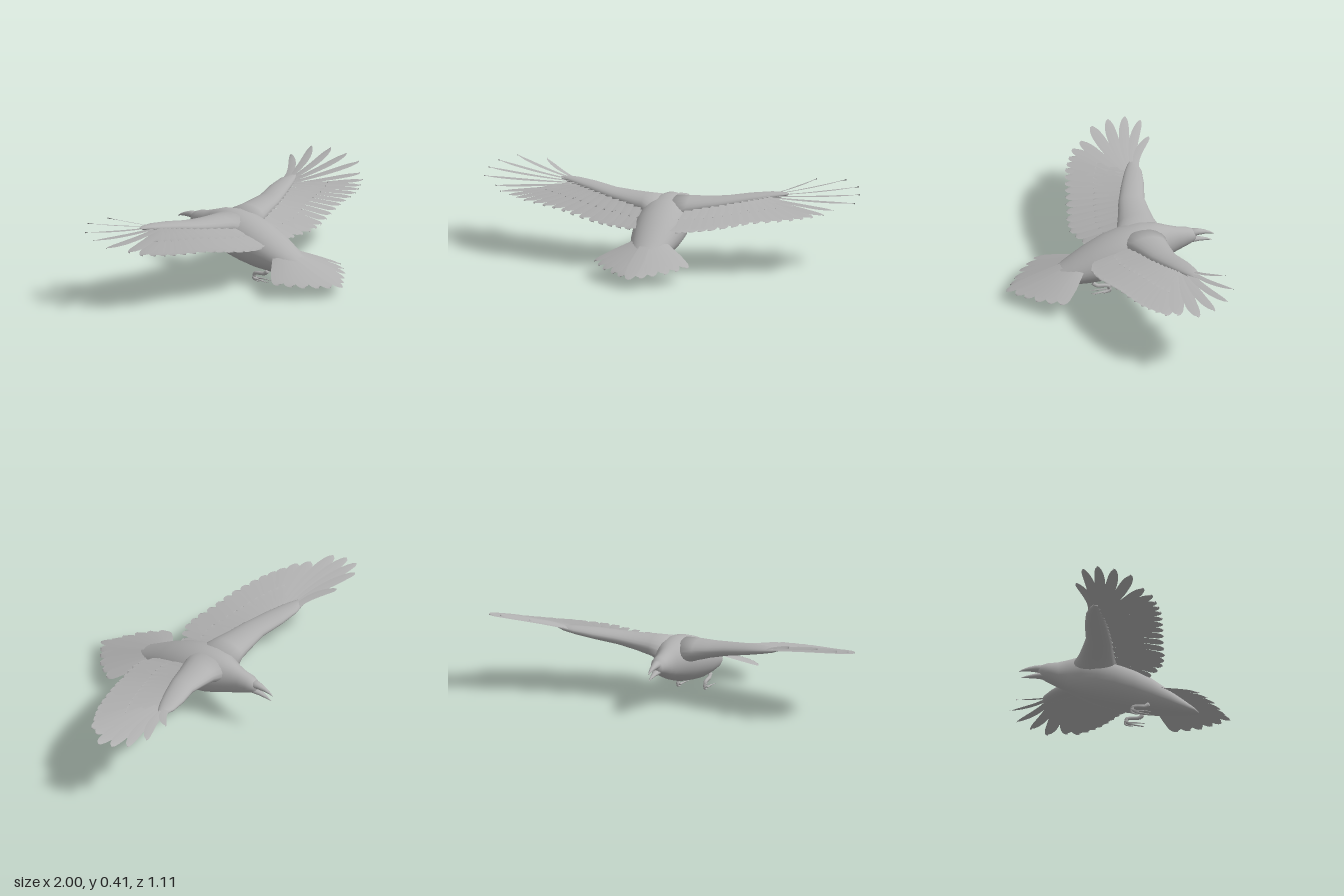
import * as THREE from 'three';
import { mergeGeometries } from 'three/addons/utils/BufferGeometryUtils.js';

const V = (x, y, z) => new THREE.Vector3(x, y, z);
const plumage = new THREE.MeshStandardMaterial({ color: 0xb0b0b0, side: THREE.DoubleSide });
plumage.name = 'plumage grey';

// Closed loft through elliptical rings {c, u, v}, running in the direction u x v
function loft(rings, n = 20) {
  const pos = [], idx = [], m = rings.length;
  rings.forEach(({ c, u, v }) => {
    for (let j = 0; j < n; j++) {
      const a = j / n * Math.PI * 2;
      pos.push(...c.clone().addScaledVector(u, Math.cos(a)).addScaledVector(v, Math.sin(a)));
    }
  });
  pos.push(...rings[0].c, ...rings[m - 1].c);
  for (let j = 0; j < n; j++) {
    const k = (j + 1) % n;
    for (let i = 0; i < m - 1; i++) {
      const a = i * n + j, b = i * n + k;
      idx.push(a, b, a + n, b, b + n, a + n);
    }
    idx.push(m * n, k, j, m * n + 1, (m - 1) * n + j, (m - 1) * n + k);
  }
  const g = new THREE.BufferGeometry();
  g.setAttribute('position', new THREE.Float32BufferAttribute(pos, 3));
  g.setIndex(idx);
  g.computeVertexNormals();
  return g;
}

// Loft along z from rows of [z, bottom, top, half width]
const hull = (rows, n) => loft(rows.map(([z, lo, hi, w]) =>
  ({ c: V(0, (lo + hi) / 2, z), u: V(w, 0, 0), v: V(0, (hi - lo) / 2, 0) })), n);

// Tapering round limb along a curve
function limb(points, r0, r1) {
  const curve = new THREE.CatmullRomCurve3(points), rings = [];
  for (let i = 0; i <= 10; i++) {
    const t = i / 10, r = r0 + (r1 - r0) * t, d = curve.getTangent(t);
    const u = V(1, 0, 0).addScaledVector(d, -d.x).normalize();
    rings.push({ c: curve.getPoint(t), u: u.clone().multiplyScalar(r), v: d.clone().cross(u).multiplyScalar(r) });
  }
  return loft(rings, 8);
}

// Thin curved vane from root to tip; point is where the tip starts to round off
function feather(root, tip, width, { sweep = 0, point = 0.82, base = 0.5, tilt = 0.004 } = {}) {
  const g = new THREE.PlaneGeometry(1, 1, 2, 14), p = g.attributes.position;
  const d = tip.clone().sub(root), across = d.clone().cross(V(0, 1, 0)).normalize();
  for (let i = 0; i < p.count; i++) {
    const t = p.getX(i) * 2, s = 1 - (0.5 - p.getY(i)) ** 1.4;
    let w = width * Math.min(1, base + s * (1 - base) * 1.8);
    if (s > point) w *= Math.sqrt(Math.max(0, 1 - ((s - point) / (1 - point)) ** 2));
    const q = root.clone().addScaledVector(d, s).addScaledVector(across, t * w);
    q.z += sweep * 4 * s * (1 - s);
    q.y += t * tilt - Math.abs(t) * 0.002;
    p.setXYZ(i, q.x, q.y, q.z);
  }
  g.computeVertexNormals();
  return g;
}

// Reflected copy for the other side, with corner order restored
function mirrored(geometry) {
  const g = geometry.clone().scale(-1, 1, 1), a = g.index.array;
  for (let i = 0; i < a.length; i += 3) [a[i], a[i + 1]] = [a[i + 1], a[i]];
  g.computeVertexNormals();
  return g;
}

export function createModel() {
  const model = new THREE.Group();
  model.name = 'flying bird';
  const add = (name, geometry) => {
    const mesh = new THREE.Mesh(geometry, plumage);
    mesh.name = name;
    model.add(mesh);
  };
  const addPair = (name, geometry) => {
    add('left ' + name, geometry);
    add('right ' + name, mirrored(geometry));
  };

  // Head and body in one smooth hull
  add('body', hull([
    [-0.457, 0.207, 0.248, 0.018], [-0.445, 0.195, 0.262, 0.033], [-0.41, 0.18, 0.277, 0.046],
    [-0.36, 0.158, 0.286, 0.052], [-0.31, 0.137, 0.302, 0.064], [-0.25, 0.115, 0.322, 0.095],
    [-0.17, 0.09, 0.33, 0.125], [-0.08, 0.072, 0.318, 0.136], [0.02, 0.057, 0.287, 0.133],
    [0.12, 0.052, 0.24, 0.115], [0.22, 0.053, 0.18, 0.09], [0.30, 0.058, 0.135, 0.06],
    [0.36, 0.066, 0.10, 0.035], [0.39, 0.071, 0.08, 0.01]], 32));

  // Open beak
  add('upper beak', hull([
    [-0.557, 0.217, 0.22, 0.001], [-0.54, 0.222, 0.233, 0.006], [-0.51, 0.226, 0.248, 0.012],
    [-0.47, 0.226, 0.261, 0.02], [-0.43, 0.222, 0.265, 0.028]], 12));
  add('lower beak', hull([
    [-0.548, 0.182, 0.185, 0.001], [-0.52, 0.186, 0.199, 0.007],
    [-0.48, 0.19, 0.212, 0.015], [-0.43, 0.19, 0.226, 0.026]], 12));

  // Wing arm: [x, y, z, half height, half chord]
  addPair('wing arm', loft([
    [0.04, 0.25, -0.165, 0.075, 0.125], [0.12, 0.272, -0.172, 0.055, 0.10], [0.2, 0.285, -0.185, 0.043, 0.085],
    [0.3, 0.30, -0.20, 0.034, 0.07], [0.42, 0.32, -0.24, 0.028, 0.062], [0.52, 0.335, -0.27, 0.02, 0.047],
    [0.58, 0.342, -0.283, 0.013, 0.027], [0.61, 0.345, -0.287, 0.005, 0.01],
  ].map(([x, y, z, h, c]) => ({ c: V(x, y, z), u: V(0, h, 0), v: V(0, 0, c) })), 20));

  // Spread primary fingers, from the leading edge backwards
  const primaryTips = [
    [0.725, 0.405, -0.415], [0.885, 0.413, -0.415], [0.97, 0.395, -0.357], [1.0, 0.375, -0.275],
    [0.998, 0.35, -0.188], [0.91, 0.325, -0.105], [0.87, 0.31, -0.05]];
  addPair('primary feathers', mergeGeometries(primaryTips.map(([x, y, z], i) =>
    feather(V(0.53 - i * 0.004, 0.342 - i * 0.002, -0.295 + i * 0.012), V(x, y, z),
      0.02 + i * 0.0035, { sweep: 0.028 - i * 0.003, point: 0.62 + i * 0.025, base: 0.7 }))));

  // Trailing flight feathers and a shorter covert row above them
  const tips = new THREE.CatmullRomCurve3([
    V(0.81, 0.302, -0.015), V(0.72, 0.293, 0.032), V(0.61, 0.285, 0.068), V(0.5, 0.275, 0.098),
    V(0.4, 0.255, 0.122), V(0.29, 0.237, 0.15), V(0.2, 0.225, 0.155), V(0.12, 0.205, 0.115)]);
  const roots = new THREE.CatmullRomCurve3([
    V(0.51, 0.333, -0.25), V(0.42, 0.318, -0.22), V(0.28, 0.297, -0.17), V(0.1, 0.27, -0.12)]);
  const flight = [], coverts = [];
  for (let i = 0; i < 14; i++) {
    const t = i / 13, root = roots.getPoint(t), tip = tips.getPoint(t);
    flight.push(feather(root, tip, 0.042, { point: 0.86, sweep: 0.008 }));
    const short = root.clone().lerp(tip, 0.55);
    short.y += 0.008;
    coverts.push(feather(root.clone().add(V(0, 0.008, 0)), short, 0.034, { point: 0.75 }));
  }
  addPair('secondary feathers', mergeGeometries(flight));
  addPair('wing coverts', mergeGeometries(coverts));

  // Tail fan, longest in the middle and drooping at the edges
  const tailTips = [[0, 0.054, 0.557], [0.05, 0.058, 0.52], [0.1, 0.063, 0.485],
    [0.16, 0.068, 0.442], [0.205, 0.074, 0.39], [0.245, 0.08, 0.335]];
  const tail = [];
  for (let i = -5; i <= 5; i++) {
    const k = Math.abs(i), [x, y, z] = tailTips[k];
    tail.push(feather(V(i * 0.013, 0.19 - k * 0.004, 0.165), V(Math.sign(i) * x, y, z), 0.036,
      { point: k ? 0.82 : 0.72, tilt: Math.sign(i) * 0.004 }));
  }
  add('tail feathers', mergeGeometries(tail));

  // Tucked legs with toes curling backwards
  addPair('leg', limb([V(0.07, 0.068, 0.11), V(0.072, 0.052, 0.09), V(0.075, 0.048, 0.05),
    V(0.075, 0.04, 0.025), V(0.075, 0.026, 0.025)], 0.011, 0.009));
  const toes = [-1, 0, 1].map(k => limb([V(0.075, 0.03, 0.022), V(0.075 + k * 0.008, 0.018, 0.028),
    V(0.075 + k * 0.015, 0.012 + k * k * 0.006, 0.07), V(0.075 + k * 0.02, 0.009 + k * k * 0.006, 0.118)], 0.008, 0.0015));
  toes.push(limb([V(0.075, 0.03, 0.022), V(0.075, 0.012, 0.018), V(0.075, 0.005, 0.035), V(0.075, 0.002, 0.06)], 0.008, 0.0015));
  addPair('toes', mergeGeometries(toes));

  return model;
}
